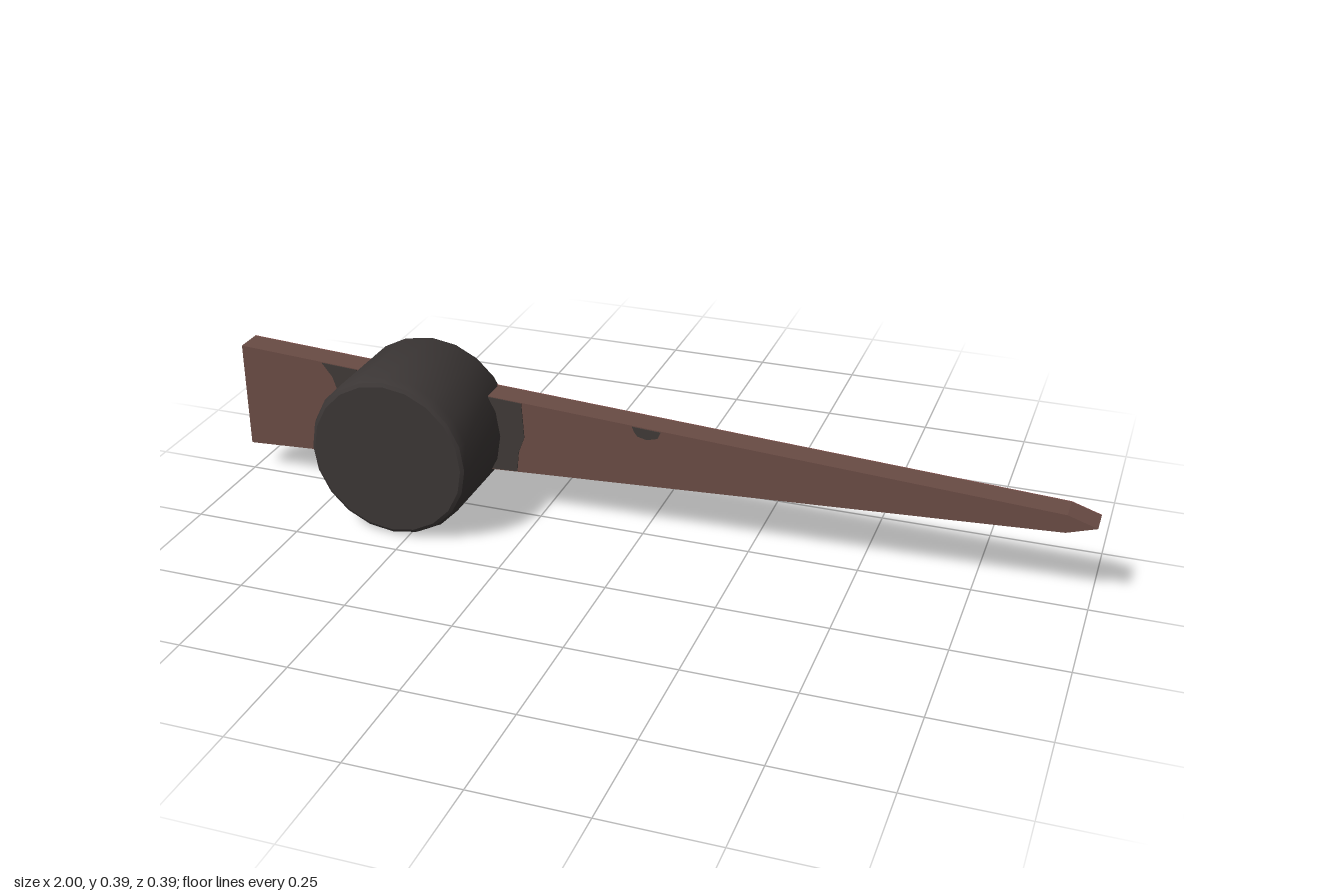
import * as THREE from 'three';
import { toCreasedNormals } from 'three/addons/utils/BufferGeometryUtils.js';

const HUB_X = -0.537, HUB_Y = 0.195;

function material(name, color) {
  const m = new THREE.MeshStandardMaterial({ color });
  m.name = name;
  return m;
}

// Flat plate cut from an outline, from z to z + depth
function plate(name, points, z, depth, mat) {
  const shape = new THREE.Shape(points.map(([x, y]) => new THREE.Vector2(x, y)));
  const geometry = new THREE.ExtrudeGeometry(shape, { depth, bevelEnabled: false });
  const mesh = new THREE.Mesh(geometry, mat);
  mesh.name = name;
  mesh.position.z = z;
  return mesh;
}

// Turned part around the hub axis; profile is [radius, z] from back to front
function turned(name, profile, sides, mat, crease) {
  const points = profile.map(([r, z]) => new THREE.Vector2(r, z));
  const geometry = new THREE.LatheGeometry(points, sides).rotateX(Math.PI / 2);
  const mesh = new THREE.Mesh(toCreasedNormals(geometry, crease), mat);
  mesh.name = name;
  mesh.position.set(HUB_X, HUB_Y, 0);
  return mesh;
}

export function createModel() {
  const group = new THREE.Group();
  group.name = 'clockHand';

  const brown = material('agedBrown', 0x6a4c45);
  const red = material('dullRed', 0x8a5250);
  const dark = material('darkMetal', 0x3b3635);
  const stain = material('wornPatch', 0x403a37);
  const silver = material('silver', 0xa2a2a2);

  // Tapered hand with a pointed tip, red on its back
  const outline = [[-1, 0.07], [0.935, 0.178], [1, 0.199], [0.935, 0.22], [-1, 0.325]];
  group.add(plate('hand', outline, -0.063, 0.063, brown));
  group.add(plate('handBack', outline, -0.065, 0.002, red));

  // Worn patches on the front of the hand
  const patches = [
    [[-0.7, 0.088], [-0.7, 0.307], [-0.79, 0.312], [-0.765, 0.28], [-0.752, 0.24],
      [-0.755, 0.15], [-0.735, 0.13], [-0.725, 0.087]],
    [[-0.38, 0.107], [-0.305, 0.111], [-0.3, 0.16], [-0.285, 0.2], [-0.29, 0.285], [-0.38, 0.29]],
    [[-0.02, 0.258], [-0.012, 0.248], [0.01, 0.243], [0.035, 0.25], [0.042, 0.266], [-0.025, 0.27]],
    [[-0.785, 0.1], [-0.768, 0.096], [-0.762, 0.11], [-0.778, 0.117]],
  ];
  patches.forEach((p, i) => group.add(plate('wornPatch' + (i + 1), p, -0.001, 0.003, stain)));

  // Round hub with narrow bevels
  const hub = [[0, -0.077], [0.178, -0.077], [0.186, -0.072], [0.193, -0.055],
    [0.193, 0.17], [0.186, 0.188], [0.178, 0.193], [0, 0.193]];
  group.add(turned('hub', hub, 20, dark, 0.5));

  // Rounded cap behind the hub
  const dome = [[0, -0.193], [0.07, -0.173], [0.122, -0.115], [0.128, -0.07]];
  group.add(turned('domeCap', dome, 16, silver, 1.2));

  return group;
}
